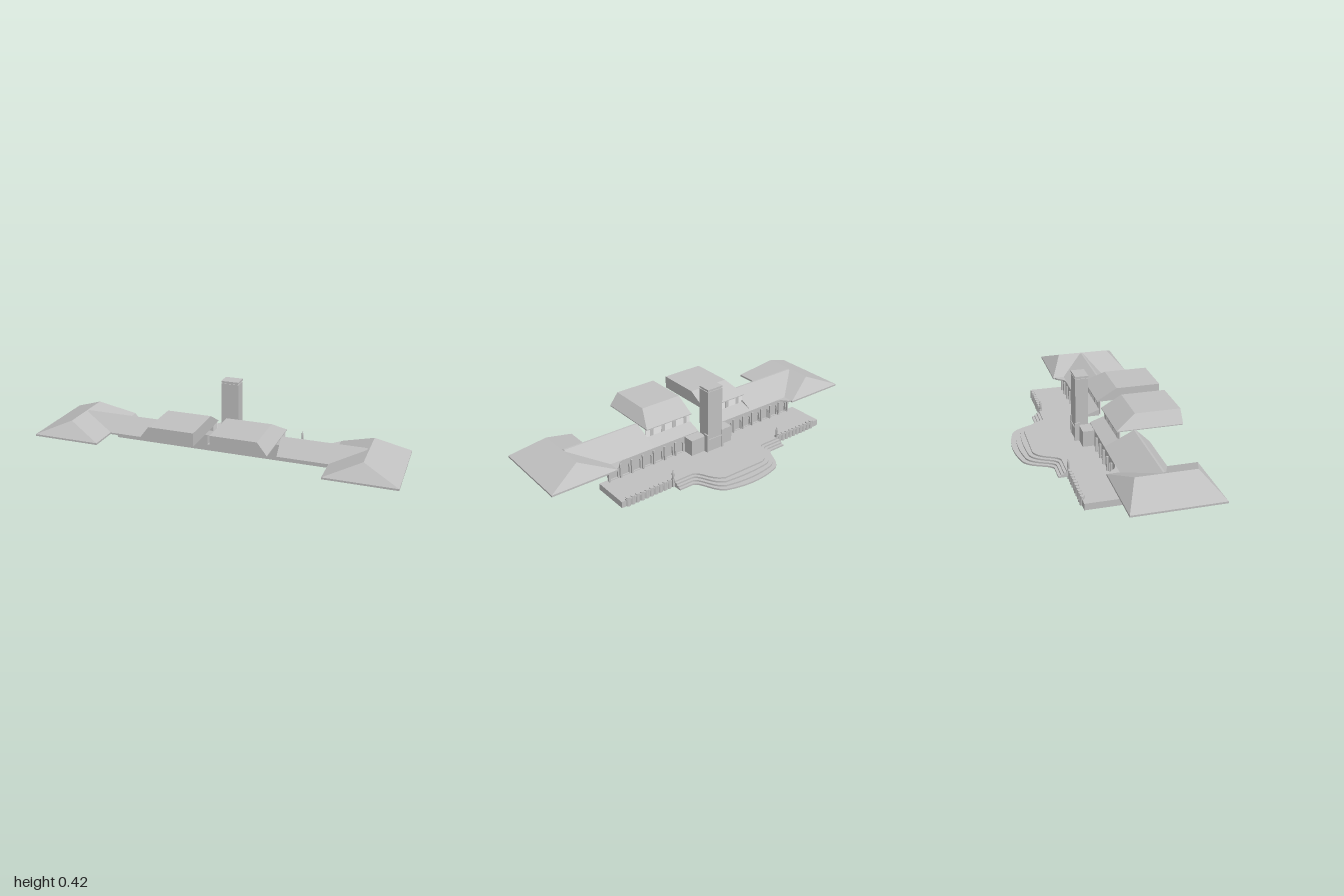
import * as THREE from 'three';
import { ConvexGeometry } from 'three/addons/geometries/ConvexGeometry.js';

export function createModel() {
  const model = new THREE.Group();
  const stone = new THREE.MeshStandardMaterial({ color: 0xc0c0c0, side: THREE.DoubleSide });
  stone.name = 'grey stone';
  const plaster = new THREE.MeshStandardMaterial({ color: 0xffffff, side: THREE.DoubleSide });
  plaster.name = 'white plaster';

  const add = (name, geometry, material = stone) => {
    const mesh = new THREE.Mesh(geometry, material);
    mesh.name = name;
    model.add(mesh);
    return mesh;
  };
  // Box given by its limits on each axis
  const box = (name, x0, x1, y0, y1, z0, z1, material) =>
    add(name, new THREE.BoxGeometry(Math.abs(x1 - x0), y1 - y0, Math.abs(z1 - z0)), material)
      .position.set((x0 + x1) / 2, (y0 + y1) / 2, (z0 + z1) / 2);
  const hull = (name, points) =>
    add(name, new ConvexGeometry(points.map((p) => new THREE.Vector3(...p))));
  // Plan outline in x and z, raised between two heights
  const slab = (name, shape, y0, y1) => {
    const g = new THREE.ExtrudeGeometry(shape, { depth: y1 - y0, bevelEnabled: false, curveSegments: 14 });
    g.rotateX(-Math.PI / 2);
    add(name, g).position.y = y0;
  };

  // Terrace and its bell-shaped garden steps
  box('terrace', -0.705, 0.69, 0, 0.037, -0.2, 0.015);
  for (let i = 0; i < 4; i++) {
    const out = 3 - i; // lower steps reach further
    const flat = 0.21 + out * 0.015;
    const end = 0.345 + out * 0.02;
    const w = 0.13 + out * 0.014;
    const s = new THREE.Shape();
    s.moveTo(-0.375, 0.19);
    s.lineTo(-0.375, flat);
    s.lineTo(-0.25 - out * 0.01, flat);
    s.bezierCurveTo(-0.2 - out * 0.012, flat + 0.015, -0.21 - out * 0.008, end - 0.03, -w, end);
    s.quadraticCurveTo(0, end + out * 0.02, w, end);
    s.bezierCurveTo(0.21 + out * 0.008, end - 0.03, 0.2 + out * 0.012, flat + 0.015, 0.25 + out * 0.01, flat);
    s.lineTo(0.365, flat);
    s.lineTo(0.365, 0.19);
    slab('gardenStep', s, 0, 0.0093 * (i + 1));
  }

  for (const side of [-1, 1]) {
    const X = (x) => side * x;

    // End pavilion: eaves board and hipped roof
    box('pavilionEaves', X(0.62), X(1), 0.125, 0.135, -0.065, 0.412);
    hull('pavilionRoof', [
      [X(0.62), 0.135, -0.065], [X(1), 0.135, -0.065], [X(0.62), 0.135, 0.412], [X(1), 0.135, 0.412],
      [X(0.81), 0.213, 0.015], [X(0.81), 0.213, 0.335],
    ]);

    // Curved eaves joining pavilion to wing
    const flare = new THREE.Shape();
    flare.moveTo(X(0.72), -0.02);
    flare.lineTo(X(0.72), 0.065);
    flare.lineTo(X(0.66), 0.064);
    flare.bezierCurveTo(X(0.57), 0.055, X(0.61), 0.01, X(0.54), 0);
    flare.lineTo(X(0.54), -0.02);
    slab('curvedEaves', flare, 0.125, 0.135);

    // Wing roof: shallow towards the garden, steep on the other face
    const wing = [];
    for (const x of [0.345, 0.8]) {
      wing.push([X(x), 0.125, 0], [X(x), 0.134, 0], [X(x), 0.213, 0.16],
        [X(x), 0.213, 0.17], [X(x), 0.134, 0.25], [X(x), 0.125, 0.25]);
    }
    hull('wingRoof', wing);
    const lower = [];
    for (const x of [0.045, 0.345]) {
      lower.push([X(x), 0.125, 0], [X(x), 0.134, 0], [X(x), 0.162, 0.078], [X(x), 0.125, 0.078]);
    }
    hull('lowerRoof', lower);

    // Upper storey: windowed wall under a raised roof cut square at the front
    box('upperWall', X(0.045), X(0.345), 0.128, 0.215, 0.082, 0.088, plaster);
    for (const x of [0.078, 0.152, 0.228, 0.306]) {
      box('upperWindow', X(x - 0.011), X(x + 0.011), 0.158, 0.2, 0.08, 0.09);
    }
    hull('upperRoof', [
      [X(0.045), 0.211, 0.065], [X(0.347), 0.211, 0.065], [X(0.045), 0.211, 0.434], [X(0.347), 0.211, 0.434],
      [X(0.045), 0.216, 0.065], [X(0.347), 0.216, 0.065], [X(0.347), 0.216, 0.434],
      [X(0.045), 0.283, 0.18], [X(0.295), 0.283, 0.18], [X(0.045), 0.283, 0.434], [X(0.295), 0.283, 0.434],
    ]);

    // Garden front: solid wall behind an arcade
    box('wall', X(0.14), X(0.64), 0.03, 0.126, 0.012, 0.015);
    const arcade = new THREE.Shape();
    arcade.moveTo(0.14, 0.037);
    arcade.lineTo(0.64, 0.037);
    arcade.lineTo(0.64, 0.126);
    arcade.lineTo(0.14, 0.126);
    arcade.closePath();
    const bays = 7, pitch = 0.5 / bays;
    for (let i = 0; i < bays; i++) {
      const cx = 0.14 + pitch * (i + 0.5);
      const hole = new THREE.Path();
      hole.moveTo(cx - 0.022, 0.04);
      hole.lineTo(cx - 0.022, 0.085);
      hole.absarc(cx, 0.085, 0.022, Math.PI, 0, true);
      hole.lineTo(cx + 0.022, 0.04);
      hole.closePath();
      arcade.holes.push(hole);
      const px = cx + pitch / 2 - 0.006;
      box('pilaster', X(px), X(px + 0.01), 0.037, 0.12, -0.01, 0);
    }
    const g = new THREE.ExtrudeGeometry(arcade, { depth: 0.01, bevelEnabled: false, curveSegments: 8 });
    if (side < 0) g.translate(-0.78, 0, 0);
    add('arcade', g);

    // Porch sides
    box('porchSide', X(0.132), X(0.142), 0.037, 0.128, -0.06, 0.015);
    box('porchFront', X(0.05), X(0.142), 0.037, 0.128, -0.065, -0.055);
    box('porchRoof', X(0.045), X(0.142), 0.12, 0.13, -0.065, 0.005);

    // Terrace parapet with rounded planting
    box('parapet', X(0.38), X(0.665), 0.035, 0.044, -0.204, -0.192);
    for (let i = 0; i < 10; i++) {
      const bump = add('planting', new THREE.CylinderGeometry(0.011, 0.013, 0.05, 8));
      bump.position.set(X(0.394 + i * 0.0285), 0.025, -0.197);
    }

    // Terrace post
    box('postPlinth', X(0.363), X(0.377), 0, 0.05, -0.207, -0.193);
    const post = add('post', new THREE.LatheGeometry([
      [0, 0.05], [0.006, 0.05], [0.007, 0.08], [0.005, 0.092], [0.002, 0.094],
      [0.002, 0.099], [0.005, 0.1], [0, 0.103],
    ].map((p) => new THREE.Vector2(...p)), 8));
    post.position.set(X(0.37), 0, -0.2);
  }

  // Chimney tower with base moulding and capped top
  box('chimney', -0.055, 0.045, 0.037, 0.405, -0.085, -0.012);
  box('chimneyNeck', -0.05, 0.04, 0.405, 0.411, -0.081, -0.016);
  box('chimneyCap', -0.055, 0.045, 0.411, 0.42, -0.086, -0.011);
  box('chimneyMoulding', -0.062, 0.052, 0.108, 0.114, -0.09, -0.06);
  for (const x of [-0.058, 0.048]) {
    box('chimneyPier', x - 0.005, x + 0.005, 0.037, 0.145, -0.09, -0.06);
  }
  return model;
}
